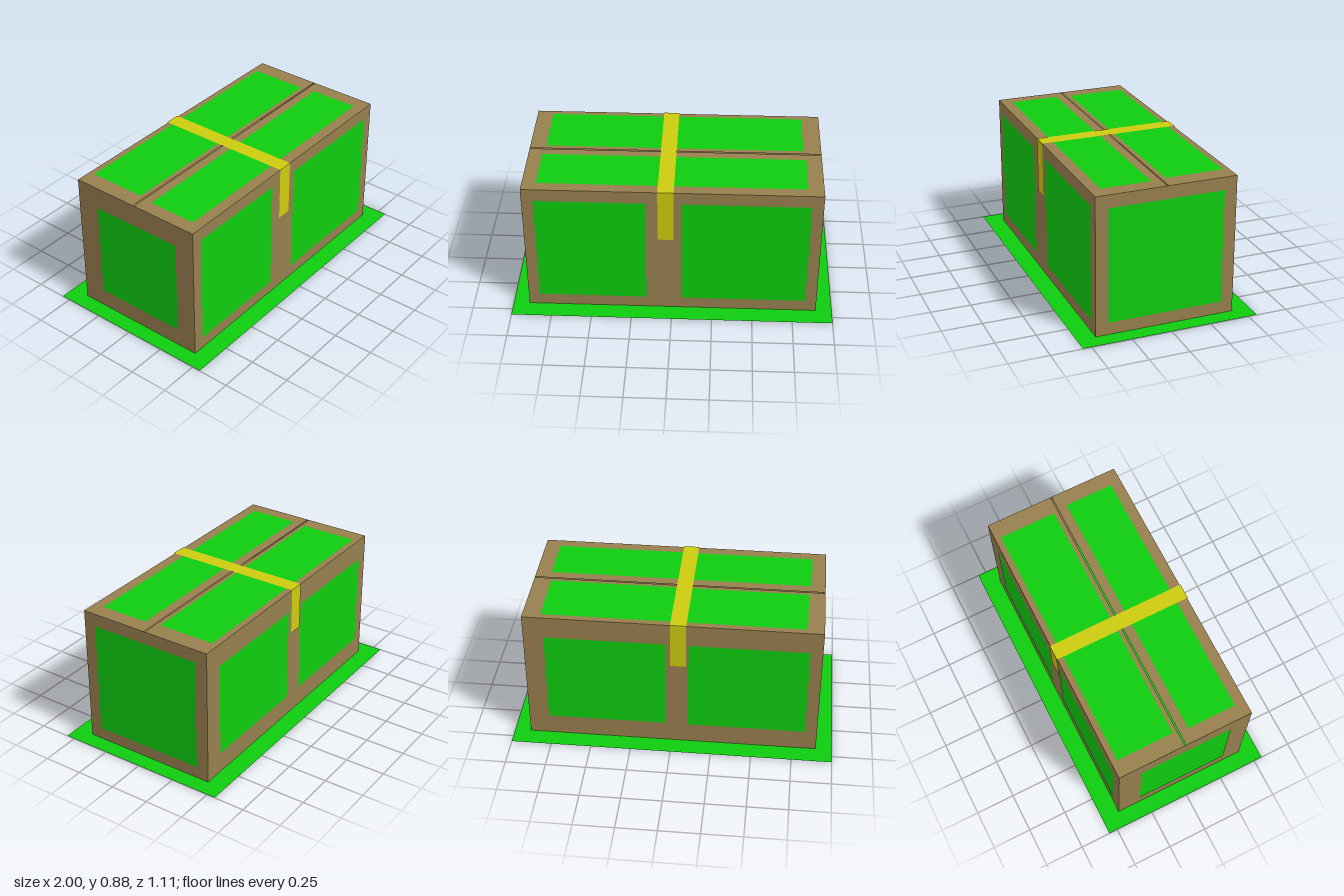
import * as THREE from 'three';

const material = (color) => new THREE.MeshStandardMaterial({ color, side: THREE.DoubleSide });

export function createModel() {
  const model = new THREE.Group();
  const card = material(0x977f4e);
  const green = material(0x0ecc0e);
  const yellow = material(0xcccb0e);

  const W = 0.9, D = 0.438, H = 0.88; // half width, half depth, height
  const LIFT = 0.002;                 // how far panels sit off the card

  // Flat rectangle on one side of the box: u0..u1 across (x or z), v0..v1 up (y, or z on top)
  function sheet(name, mat, side, u0, u1, v0, v1, offset = 0) {
    const geometry = new THREE.PlaneGeometry(u1 - u0, v1 - v0);
    const u = (u0 + u1) / 2, v = (v0 + v1) / 2;
    const mesh = new THREE.Mesh(geometry, mat);
    if (side === 'front') mesh.position.set(u, v, D + offset);
    if (side === 'back') {
      geometry.rotateY(Math.PI);
      mesh.position.set(u, v, -D - offset);
    }
    if (side === 'left' || side === 'right') {
      const s = side === 'left' ? 1 : -1;
      geometry.rotateY(s * Math.PI / 2);
      mesh.position.set(s * (W + offset), v, u);
    }
    if (side === 'top') {
      geometry.rotateX(-Math.PI / 2);
      mesh.position.set(u, H + offset, v);
    }
    if (side === 'bottom') {
      geometry.rotateX(Math.PI / 2);
      mesh.position.set(u, -offset, v);
    }
    mesh.name = name;
    model.add(mesh);
    return mesh;
  }

  // Carton walls and floor
  sheet('frontWall', card, 'front', -W, W, 0, H);
  sheet('backWall', card, 'back', -W, W, 0, H);
  sheet('leftWall', card, 'left', -D, D, 0, H);
  sheet('rightWall', card, 'right', -D, D, 0, H);
  sheet('floor', card, 'bottom', -W, W, -D, D);

  // Lid flaps with a narrow slit between them
  sheet('backFlap', card, 'top', -W, W, -D, -0.007);
  sheet('frontFlap', card, 'top', -W, W, 0.001, D);

  // Green panels
  const panels = [
    ['front', -0.83, -0.16, 0.08, 0.8],
    ['front', 0.055, 0.83, 0.08, 0.8],
    ['back', 0.04, 0.775, 0.135, 0.74],
    ['back', -0.825, -0.1, 0.135, 0.74],
    ['left', -0.36, 0.36, 0.08, 0.8],
    ['right', -0.29, 0.31, 0.12, 0.74],
    ['top', -0.8, 0.79, -0.4, -0.035],
    ['top', -0.815, 0.805, 0.06, 0.37],
  ];
  for (const [side, ...box] of panels) sheet(side + 'Panel', green, side, ...box, LIFT);

  // Tape over the lid and down both long sides
  const tape = [-0.087, 0.01];
  const skin = 2 * LIFT;
  sheet('tapeTop', yellow, 'top', ...tape, -D - skin, D + skin, skin);
  sheet('tapeFront', yellow, 'front', ...tape, 0.535, H + skin, skin);
  sheet('tapeBack', yellow, 'back', ...tape, 0.585, H + skin, skin);

  // Ground sheet, just above the carton floor
  sheet('groundSheet', green, 'bottom', -1, 1, -0.555, 0.555, -LIFT);

  return model;
}
